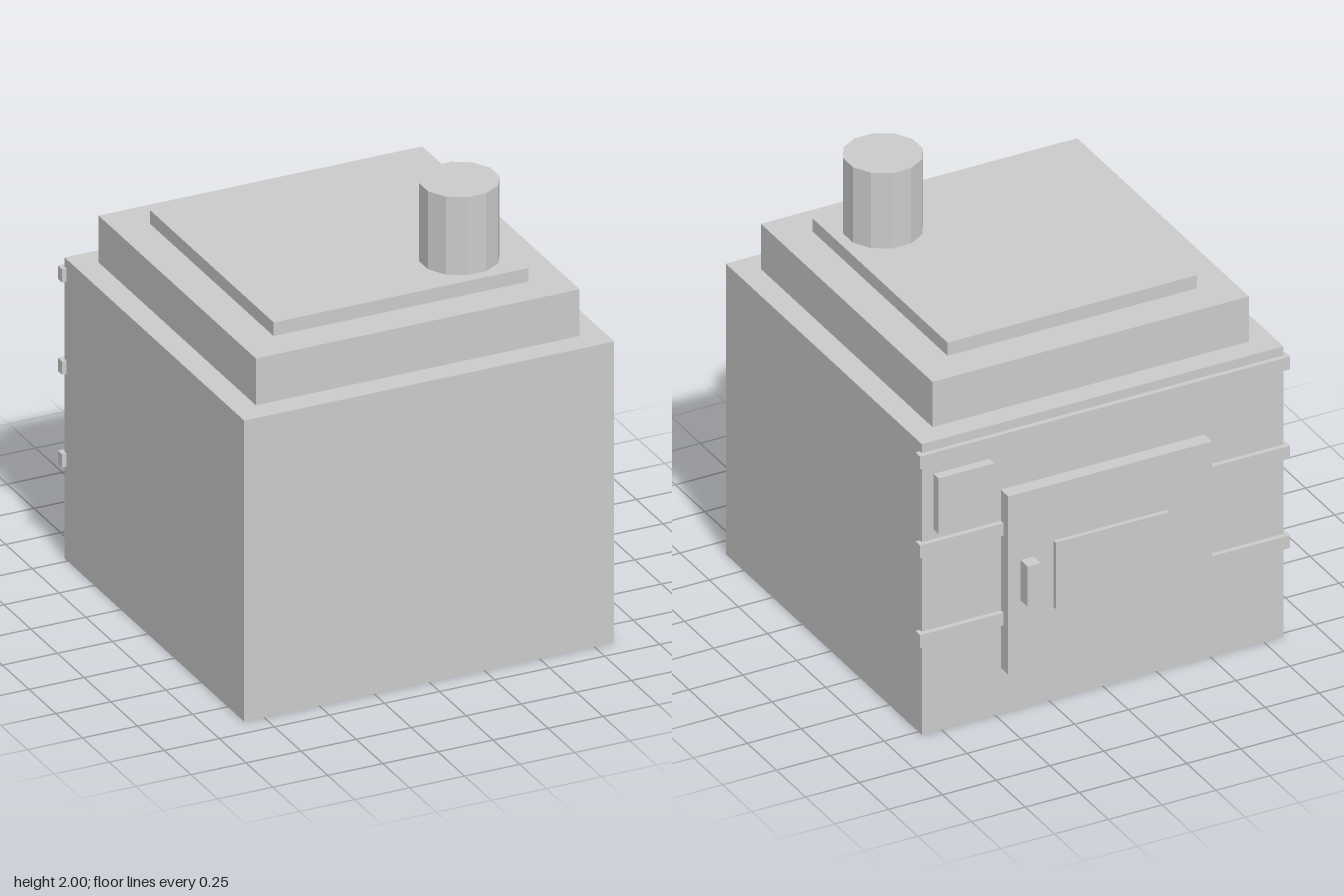
import * as THREE from 'three';

export function createModel() {
  const model = new THREE.Group();
  model.name = 'stove';
  const material = new THREE.MeshStandardMaterial({ color: 0xcccccc, flatShading: true });

  const add = (name, geometry, x, y, z) => {
    const mesh = new THREE.Mesh(geometry, material);
    mesh.name = name;
    mesh.position.set(x, y, z);
    model.add(mesh);
    return mesh;
  };

  // Box given by its extents on each axis
  const block = (name, [x0, x1], [y0, y1], [z0, z1]) =>
    add(name, new THREE.BoxGeometry(x1 - x0, y1 - y0, z1 - z0),
      (x0 + x1) / 2, (y0 + y1) / 2, (z0 + z1) / 2);

  const back = -0.778;

  // Stepped body
  block('body', [-0.84, 0.84], [0, 1.37], [back, 0.903]);
  block('upperTier', [-0.735, 0.735], [1.37, 1.583], [-0.676, 0.796]);
  block('topSlab', [-0.579, 0.579], [1.583, 1.645], [-0.517, 0.641]);

  // Twelve-sided chimney with flats facing the axes
  const chimney = add('chimney', new THREE.CylinderGeometry(0.168, 0.168, 0.355, 12), 0.366, 1.8225, 0.43);
  chimney.rotation.y = Math.PI / 12;

  // Iron straps across the back
  for (const y of [0.456, 0.878, 1.298]) {
    block('strap', [-0.86, 0.86], [y - 0.03, y + 0.03], [-0.8, -0.76]);
  }

  // Door with raised panel and handle
  block('door', [-0.473, 0.473], [0.215, 1.055], [-0.842, back]);
  block('doorPanel', [-0.263, 0.263], [0.478, 0.79], [-0.862, -0.83]);
  block('doorHandle', [0.354, 0.416], [0.55, 0.74], [-0.903, -0.83]);

  // Small plate beside the door
  block('sidePlate', [0.525, 0.785], [0.952, 1.215], [-0.82, back]);

  return model;
}
